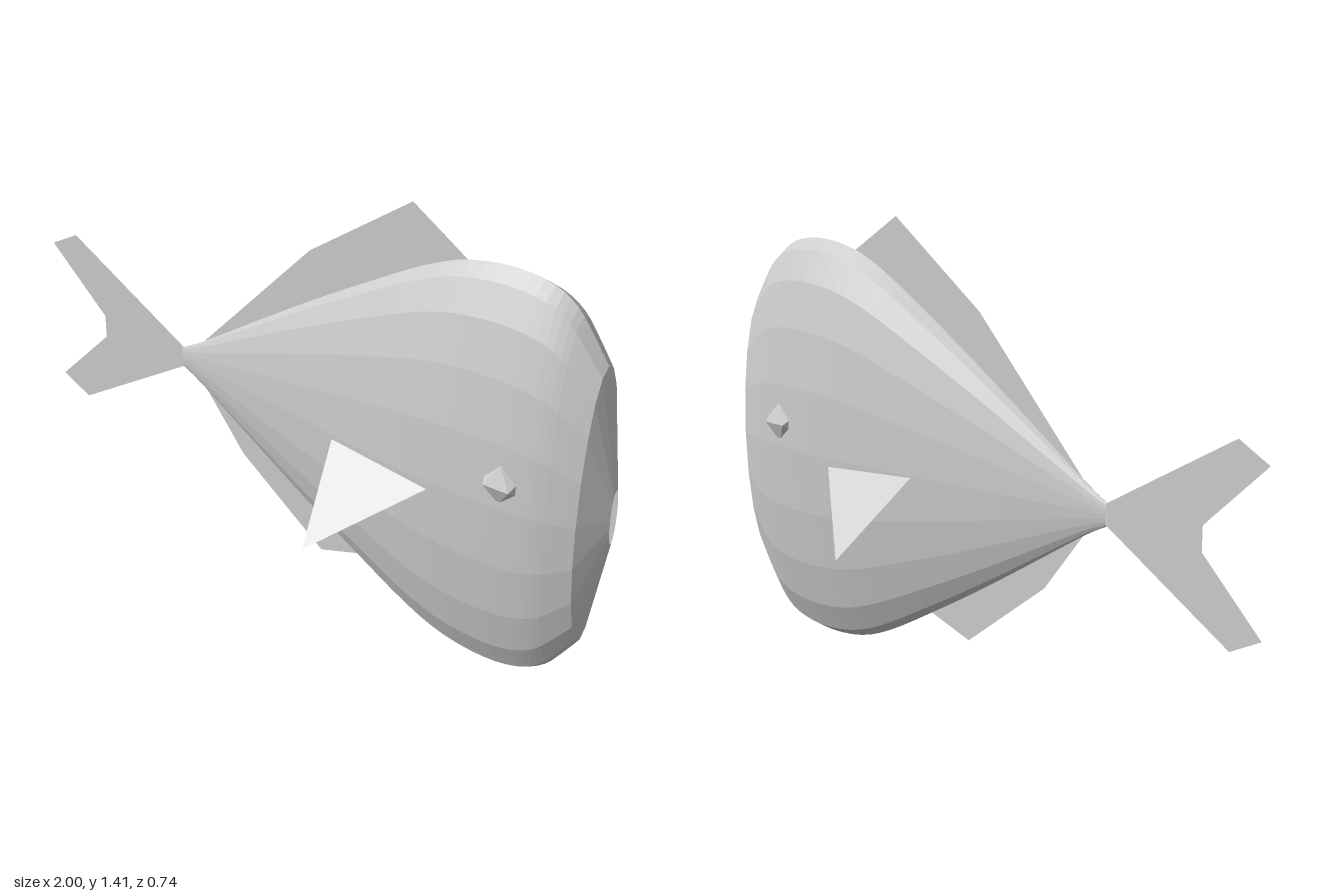
import * as THREE from 'three';

const MID_Y = 0.657; // height of the body's axis
const FLATTEN = 0.23; // body thickness relative to its height

// Thin one-layer fin outlined in the x-y plane
function flatFin(name, outline, material) {
  const shape = new THREE.Shape(outline.map(([x, y]) => new THREE.Vector2(x, y)));
  const fin = new THREE.Mesh(new THREE.ShapeGeometry(shape), material);
  fin.name = name;
  return fin;
}

export function createModel() {
  const fish = new THREE.Group();
  fish.name = 'fish';
  const grey = new THREE.MeshStandardMaterial({ color: 0xcccccc, flatShading: true, side: THREE.DoubleSide });
  grey.name = 'light grey';

  // Body: radius along the length, open at tail root and mouth
  const side = new THREE.SplineCurve([
    [0.035, -0.48], [0.08, -0.4], [0.215, -0.2], [0.348, 0], [0.473, 0.2],
    [0.582, 0.385], [0.637, 0.52], [0.655, 0.66], [0.638, 0.77],
    [0.595, 0.84], [0.53, 0.89], [0.455, 0.94],
  ].map(([r, x]) => new THREE.Vector2(r, x)));
  const profile = [...side.getPoints(33), new THREE.Vector2(0.09, 1)];
  const bodyGeometry = new THREE.LatheGeometry(profile, 20);
  bodyGeometry.rotateZ(-Math.PI / 2).scale(1, 1, FLATTEN);
  const body = new THREE.Mesh(bodyGeometry, grey);
  body.name = 'body';
  body.position.y = MID_Y;
  fish.add(body);

  // Fins on the middle plane
  fish.add(flatFin('tailFin', [
    [-0.48, 0.692], [-0.9, 0.957], [-1, 0.902], [-0.8, 0.698],
    [-0.8, 0.622], [-1, 0.418], [-0.9, 0.362], [-0.48, 0.622],
  ], grey));
  fish.add(flatFin('dorsalFin', [[-0.4, 0.735], [0, 1.168], [0.335, 1.412], [0.52, 1.285]], grey));
  fish.add(flatFin('bellyFin', [[-0.4, 0.58], [-0.255, 0.38], [0.045, 0.133], [0.21, 0.187]], grey));

  // Paired side fins and eyes
  for (const [s, label] of [[1, 'front'], [-1, 'back']]) {
    const finGeometry = new THREE.BufferGeometry().setFromPoints([
      new THREE.Vector3(0.165, 0.66, s * 0.125),
      new THREE.Vector3(0.235, 0.447, s * 0.372),
      new THREE.Vector3(0.5, 0.633, s * 0.148),
    ]);
    finGeometry.computeVertexNormals();
    const fin = new THREE.Mesh(finGeometry, grey);
    fin.name = `${label}SideFin`;
    fish.add(fin);

    const eye = new THREE.Mesh(new THREE.IcosahedronGeometry(0.075, 0), grey);
    eye.name = `${label}Eye`;
    eye.rotation.z = Math.PI / 2;
    eye.position.set(0.725, 0.735, s * 0.104);
    fish.add(eye);
  }
  return fish;
}
